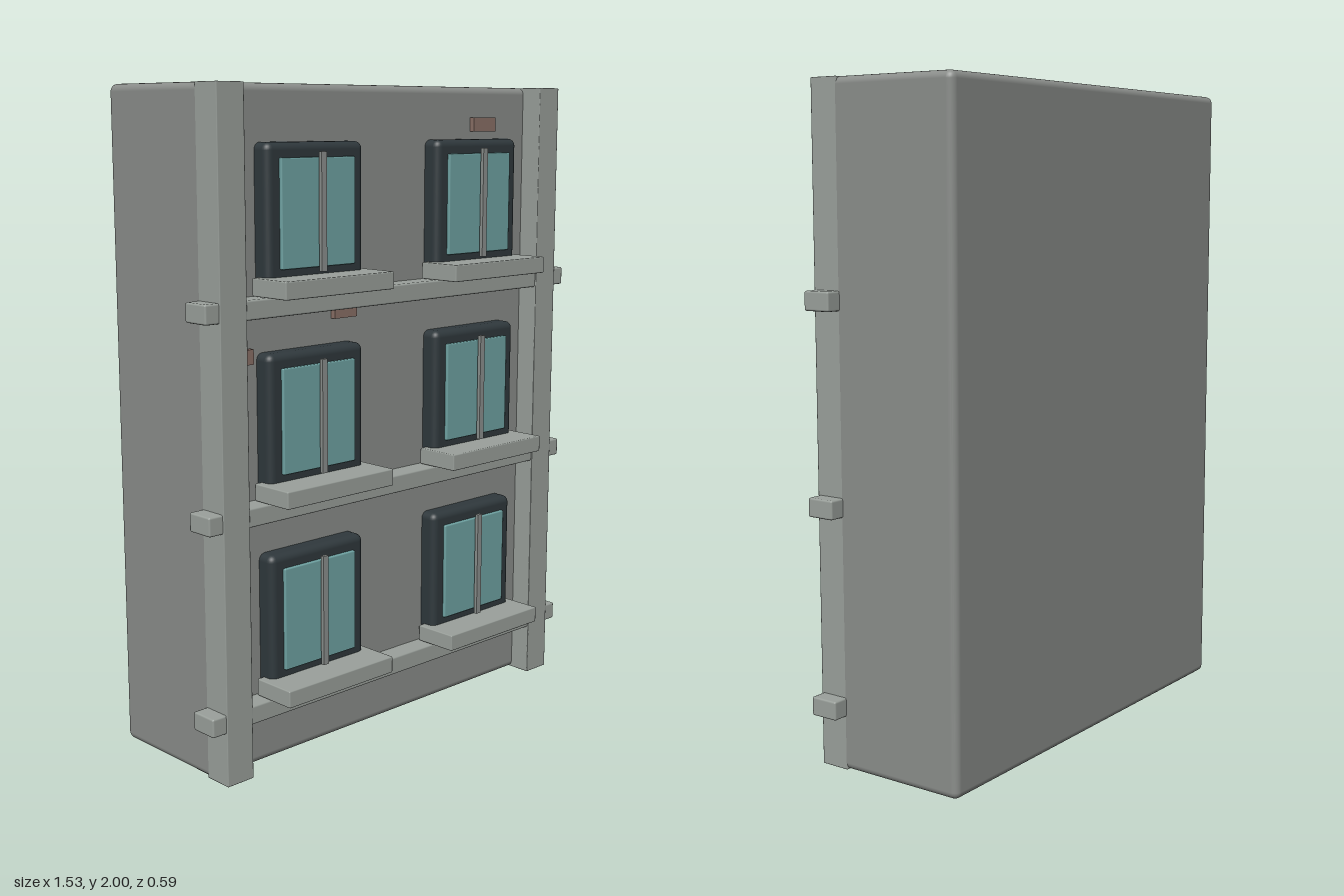
import * as THREE from 'three';
import { RoundedBoxGeometry } from 'three/addons/geometries/RoundedBoxGeometry.js';

const paint = (color) => new THREE.MeshStandardMaterial({ color });

export function createModel() {
  const model = new THREE.Group();
  model.name = 'apartmentFacade';

  const wall = paint(0x8a8d8a);
  const trim = paint(0x9aa09b);
  const dark = paint(0x2f383c);
  const glass = paint(0x6fa3a3);
  const metal = paint(0x8c908e);
  const clay = paint(0x8a7066);

  // Box given by its min/max on each axis, with an optional rounded edge
  function block(parent, name, material, [x0, x1], [y0, y1], [z0, z1], radius = 0, segments = 1) {
    const size = [x1 - x0, y1 - y0, z1 - z0];
    const geometry = radius
      ? new RoundedBoxGeometry(...size, segments, radius)
      : new THREE.BoxGeometry(...size);
    const mesh = new THREE.Mesh(geometry, material);
    mesh.name = name;
    mesh.position.set((x0 + x1) / 2, (y0 + y1) / 2, (z0 + z1) / 2);
    parent.add(mesh);
    return mesh;
  }

  // Main building mass
  block(model, 'buildingBody', wall, [-0.717, 0.717], [0, 2], [-0.295, 0.135], 0.022, 3);

  // Corner pillars
  block(model, 'leftPillar', trim, [0.621, 0.717], [0, 2], [0.111, 0.206], 0.003);
  block(model, 'rightPillar', trim, [-0.717, -0.621], [0, 2], [0.111, 0.206], 0.003);

  // One window: frame, pane, centre bar and sill, with its origin at the floor line
  function makeWindow() {
    const g = new THREE.Group();
    block(g, 'windowFrame', dark, [-0.187, 0.187], [0.245, 0.65], [0.11, 0.19], 0.022, 3);
    block(g, 'windowPane', glass, [-0.142, 0.142], [0.295, 0.607], [0.16, 0.2], 0.004);
    block(g, 'windowBar', metal, [-0.01, 0.01], [0.283, 0.623], [0.209, 0.221]);
    block(g, 'windowSill', trim, [-0.211, 0.211], [0.222, 0.274], [0.148, 0.294], 0.004);
    return g;
  }

  // Three storeys, each with a ledge and a pair of windows
  const storey = 0.594;
  for (let i = 0; i < 3; i++) {
    const y = i * storey;
    block(model, `ledge${i + 1}`, trim, [-0.765, 0.765], [y + 0.163, y + 0.22], [0.111, 0.202], 0.006);
    for (const side of [-1, 1]) {
      const w = makeWindow();
      w.name = `${side > 0 ? 'left' : 'right'}Window${i + 1}`;
      w.position.set(side * 0.344, y, 0);
      model.add(w);
    }
  }

  // Exposed bricks in the wall
  const bricks = [[0.363, 0.467, 1.862, 1.906], [-0.24, -0.15, 1.318, 1.362], [-0.66, -0.555, 1.216, 1.26]];
  bricks.forEach(([x0, x1, y0, y1], i) =>
    block(model, `exposedBrick${i + 1}`, clay, [x0, x1], [y0, y1], [0.12, 0.152]));

  return model;
}
